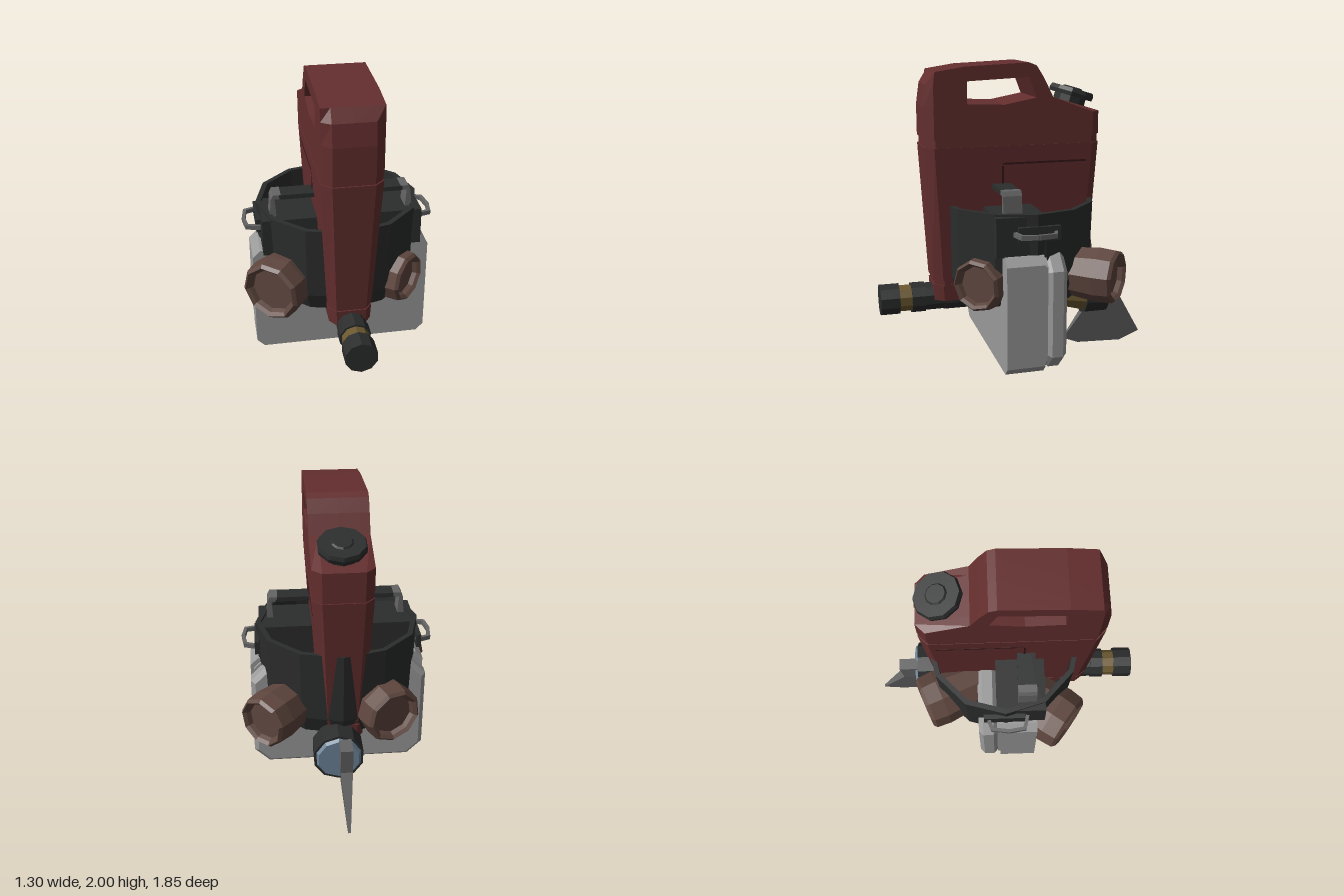
import * as THREE from 'three';

const mat = (name, color) => Object.assign(new THREE.MeshStandardMaterial({ color }), { name });

export function createModel() {
  const M = {
    red: mat('can red', 0x642e2e),
    seam: mat('seam dark red', 0x351717),
    black: mat('charcoal', 0x2b2c2c),
    brown: mat('bark brown', 0x5e463e),
    grey: mat('case grey', 0x9a9a9a),
    steel: mat('dark steel', 0x656565),
    ochre: mat('ochre', 0x6b5830),
    blue: mat('lens blue', 0x6d8499),
  };
  const model = new THREE.Group();

  // Faceted mesh helper
  function add(name, geo, material, pos = [0, 0, 0], parent = model) {
    const g = geo.index ? geo.toNonIndexed() : geo;
    g.computeVertexNormals();
    const mesh = new THREE.Mesh(g, material);
    mesh.name = name;
    mesh.position.set(...pos);
    parent.add(mesh);
    return mesh;
  }
  const box = (name, w, h, d, material, pos, parent) =>
    add(name, new THREE.BoxGeometry(w, h, d), material, pos, parent);
  const shapeOf = pts => new THREE.Shape(pts.map(p => new THREE.Vector2(...p)));
  const lathe = (pts, sides) =>
    new THREE.LatheGeometry(pts.map(p => new THREE.Vector2(...p)), sides);
  const move = (geo, rule) => {
    const p = geo.attributes.position, v = new THREE.Vector3();
    for (let i = 0; i < p.count; i++) {
      rule(v.fromBufferAttribute(p, i));
      p.setXYZ(i, v.x, v.y, v.z);
    }
    return geo;
  };

  // Extrude a (z, y) profile across x
  function across(shape, width, steps = 1) {
    const g = new THREE.ExtrudeGeometry(shape, { depth: width, steps, bevelEnabled: false });
    return g.translate(0, 0, -width / 2).rotateY(-Math.PI / 2);
  }

  // Fuel can: chamfered front and back edges, tapering below the seam
  const drop = y => Math.max(0, (1.48 - y) / 1.02);
  function canPart(name, shape, scale = 1) {
    const g = move(across(shape, 0.38, 4), v => {
      const a = Math.abs(v.x);
      if (a > 0.15) {
        v.z = Math.min(0.57 - 0.055 * drop(v.y), Math.max(-0.47 + 0.06 * drop(v.y), v.z));
      } else if (a > 0.05) v.x = Math.sign(v.x) * 0.13;
      v.x *= (1 - 0.29 * drop(v.y)) * scale;
      v.z *= scale;
    });
    add(name, g, M.red);
  }
  const canTop = shapeOf([[0.63, 1.53], [0.63, 1.73], [0.61, 1.87], [0.56, 1.95], [0.37, 1.98],
    [-0.04, 2], [-0.09, 1.98], [-0.14, 1.9], [-0.2, 1.78], [-0.53, 1.68], [-0.53, 1.53]]);
  canTop.holes.push(new THREE.Path([[0.36, 1.89], [0.36, 1.75], [0.12, 1.74], [-0.09, 1.78],
    [-0.04, 1.91]].map(p => new THREE.Vector2(...p))));
  canPart('canTop', canTop);
  for (const [y0, y1, scale] of [[0.46, 0.57, 1], [0.57, 0.6, 0.985], [0.6, 1.48, 1], [1.48, 1.53, 0.985]]) {
    const f = y => 0.63 - 0.055 * drop(y), b = y => -0.53 + 0.06 * drop(y);
    canPart('canBody', shapeOf([[f(y0), y0], [f(y1), y1], [b(y1), y1], [b(y0), y0]]), scale);
  }
  box('canFoot', 0.25, 0.2, 0.3, M.red, [0, 0.38, -0.05]);
  for (const s of [-1, 1]) {
    box('canSeam', 0.008, 0.012, 0.56, M.seam, [s * 0.182, 1.365, -0.15]);
    box('canSeam', 0.008, 0.13, 0.012, M.seam, [s * 0.179, 1.3, 0.13]);
  }

  // Screw cap on the sloping shoulder
  const cap = new THREE.Group();
  cap.name = 'cap';
  cap.position.set(0, 1.74, -0.37);
  cap.rotation.x = -0.29;
  model.add(cap);
  add('capTop', lathe([[0, -0.03], [0.11, -0.03], [0.11, 0.03], [0.15, 0.03], [0.155, 0.055],
    [0.145, 0.08], [0.07, 0.08], [0.06, 0.09], [0, 0.09]], 10), M.black, [0, 0, 0], cap);

  // Open drum around the can
  const drum = add('drum', lathe([[0.42, 0.47], [0.48, 0.5], [0.525, 0.62], [0.54, 1.105],
    [0.505, 1.105], [0.49, 0.62], [0.42, 0.47]], 12), M.black);
  drum.scale.z = 0.96;

  // Tool box within the drum, with its strap handle
  box('toolBox', 1.04, 0.25, 0.32, M.black, [0, 0.965, 0.1]);
  box('handleStrap', 0.8, 0.03, 0.12, M.black, [0, 1.222, 0.14]);
  for (const s of [-1, 1]) {
    const bracket = new THREE.ExtrudeGeometry(shapeOf([[0.39, 1.21], [0.43, 1.21], [0.42, 1.08],
      [0.465, 1.08], [0.455, 1.21], [0.44, 1.24], [0.39, 1.24]].map(([x, y]) => [x * s, y])),
    { depth: 0.12, bevelEnabled: false });
    add('handleBracket', bracket, M.steel, [0, 0, 0.08]);
  }

  // Side carry handles
  for (const s of [-1, 1]) {
    const handle = new THREE.Group();
    handle.name = 'sideHandle';
    model.add(handle);
    box('handlePlate', 0.03, 0.09, 0.27, M.black, [s * 0.535, 0.985, -0.01], handle);
    const pts = [[0.53, -0.12], [0.61, -0.09], [0.625, 0.02], [0.61, 0.12], [0.53, 0.14]];
    for (let i = 0; i < 4; i++) {
      const [x0, z0] = pts[i], [x1, z1] = pts[i + 1];
      const bar = box('handleBar', 0.022, 0.03, Math.hypot(x1 - x0, z1 - z0) + 0.015, M.steel,
        [s * (x0 + x1) / 2, 0.985, (z0 + z1) / 2], handle);
      bar.rotation.y = Math.atan2(s * (x1 - x0), z1 - z0);
    }
  }

  // Case: two chamfered shells with a recessed gap
  const panel = (x, y0, y1, c) => shapeOf([[-x + c, y0], [x - c, y0], [x, y0 + c], [x, y1 - c],
    [x - c, y1], [-x + c, y1], [-x, y1 - c], [-x, y0 + c]]);
  add('caseFront', new THREE.ExtrudeGeometry(panel(0.588, 0.08, 0.845, 0.05),
    { depth: 0.25, bevelEnabled: false }), M.grey, [0, 0, -0.04]);
  add('caseGap', new THREE.ExtrudeGeometry(panel(0.565, 0.1, 0.825, 0.05),
    { depth: 0.03, bevelEnabled: false }), M.grey, [0, 0, -0.06]);
  add('caseBack', new THREE.ExtrudeGeometry(panel(0.588, 0.08, 0.845, 0.1),
    { depth: 0.07, bevelThickness: 0.03, bevelSize: 0.03, bevelOffset: -0.03, bevelSegments: 1 }),
  M.grey, [0, 0, -0.155]);

  // Hollow-ended logs: end centre, outward direction, radius
  const logs = [
    [[0.53, 0.66, -0.54], [0.66, 0, -0.75], 0.18],
    [[-0.33, 0.67, -0.56], [-0.38, 0, -0.92], 0.195],
    [[-0.51, 0.665, 0.44], [-0.6, 0, 0.8], 0.21],
    [[0.43, 0.64, 0.38], [0.72, 0, 0.7], 0.175],
  ];
  for (const [end, dir, r] of logs) {
    const log = add('log', lathe([[0, -0.48], [r * 0.8, -0.48], [r, -0.12], [r * 0.96, -0.02],
      [r * 0.86, 0], [r * 0.76, -0.02], [r * 0.7, -0.05], [0, -0.05]], 9), M.brown, end);
    log.quaternion.setFromUnitVectors(new THREE.Vector3(0, 1, 0),
      new THREE.Vector3(...dir).normalize());
  }

  // Torch barrel: z start, z end, radius at start and end
  const barrel = [
    ['torchTail', 0.8, 0.925, 0.105, 0.105, M.black],
    ['torchBand', 0.71, 0.81, 0.09, 0.09, M.ochre],
    ['torchCollar', 0.63, 0.72, 0.103, 0.103, M.black],
    ['torchGrip', 0.5, 0.63, 0.095, 0.095, M.black],
    ['torchGrip', 0.32, 0.5, 0.1, 0.1, M.black],
    ['torchBody', -0.24, 0.32, 0.09, 0.09, M.ochre],
  ];
  for (const [name, z0, z1, r0, r1, m] of barrel) {
    const g = new THREE.CylinderGeometry(r1, r0, z1 - z0, 10).rotateX(Math.PI / 2);
    add(name, g, m, [0, 0.46, (z0 + z1) / 2]);
  }
  // Torch head and lens, facing the back
  const head = [['torchCone', -0.47, -0.2, 0.15, 0.075, M.ochre], ['torchHead', -0.62, -0.46, 0.165, 0.165, M.black],
    ['torchLens', -0.64, -0.62, 0.135, 0.15, M.blue]];
  for (const [name, z0, z1, r0, r1, m] of head) {
    const g = new THREE.CylinderGeometry(r1, r0, z1 - z0, 10).rotateX(Math.PI / 2);
    add(name, g, m, [0.04, 0.425, (z0 + z1) / 2]);
  }

  // Axe blade, thick at the top and thin at the cutting edge
  const blade = across(shapeOf([[-0.62, 0.565], [-0.75, 0.565], [-0.735, 0.39], [-0.925, 0.06],
    [-0.78, 0], [-0.46, 0.015], [-0.35, 0.06], [-0.49, 0.26], [-0.6, 0.36]]), 0.08);
  add('axeBlade', move(blade, v => {
    v.x *= 0.08 + 0.92 * Math.min(1, v.y / 0.4);
  }), M.steel);

  return model;
}
